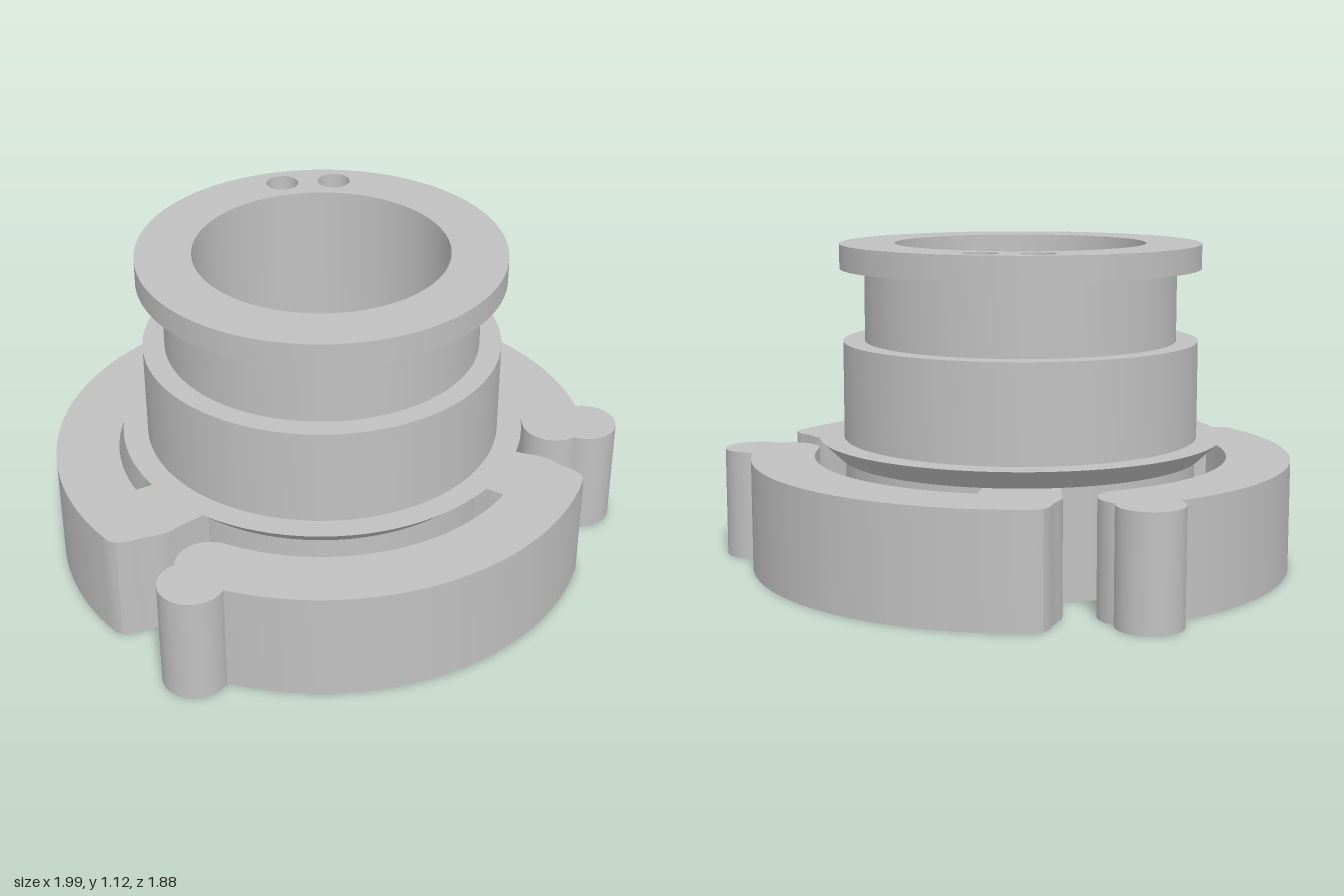
import * as THREE from 'three';
import { toCreasedNormals } from 'three/addons/utils/BufferGeometryUtils.js';

const TOP = 1.12;
const BASE = 0.383;
const HOLES = [[-0.0925, -0.525], [0.0925, -0.525]];
const HOLE_R = 0.057;
const rad = THREE.MathUtils.degToRad;
const polar = (r, deg) => new THREE.Vector2(r * Math.cos(rad(deg)), r * Math.sin(rad(deg)));

function lathe(profile, segments) {
  const pts = profile.map(([r, y]) => new THREE.Vector2(r, y));
  return toCreasedNormals(new THREE.LatheGeometry(pts, segments), 0.4);
}

// Curved locking arm: root joined to the hub, free end rounded
function armGeometry() {
  const pts = [[0.58, 13.2], [0.712, 15.8], [0.765, 16.2], [0.796, 16.9], [0.825, 18.1],
    [0.855, 19.4], [0.885, 20], [0.907, 20.8], [0.928, 21.8], [0.939, 23.3]]
    .map(([r, a]) => polar(r, a));
  const end = 121.3, mid = 0.829, capR = 0.11;
  for (let i = 1; i <= 48; i++) pts.push(polar(0.939, 23.3 + (end - 23.3) * i / 48));
  const c = polar(mid, end);
  for (let i = 1; i < 16; i++) pts.push(polar(capR, end + 180 * i / 16).add(c));
  for (let i = 0; i <= 48; i++) pts.push(polar(0.719, end + (37 - end) * i / 48));
  pts.push(polar(0.58, 37));
  const geo = new THREE.ExtrudeGeometry(new THREE.Shape(pts), { depth: BASE, bevelEnabled: false });
  geo.rotateX(Math.PI / 2).translate(0, BASE, 0);
  return toCreasedNormals(geo, 0.5);
}

export function createModel() {
  const model = new THREE.Group();
  const metal = new THREE.MeshStandardMaterial({ color: 0xc0c0c0 });
  metal.name = 'grey metal';

  // Everything turns about an axis slightly left of the centre
  const coupling = new THREE.Group();
  coupling.name = 'coupling';
  coupling.position.x = -0.06;
  model.add(coupling);
  const add = (name, geo, parent = coupling) => {
    const mesh = new THREE.Mesh(geo, metal);
    mesh.name = name;
    parent.add(mesh);
    return mesh;
  };

  // Hollow hub with inner web, sealing lip, neck and flange
  add('hub', lathe([
    [0.434, TOP], [0.434, 0.62], [0.19, 0.62], [0.19, 0.53], [0.474, 0.53], [0.474, 0],
    [0.61, 0], [0.61, 0.383], [0.63, 0.383], [0.70, 0.45], [0.615, 0.45], [0.615, 0.785],
    [0.54, 0.785], [0.54, 1.035], [0.625, 1.035], [0.625, TOP],
  ], 96));

  // Flange face with two small holes
  const face = new THREE.Shape().absarc(0, 0, 0.625, 0, Math.PI * 2);
  face.holes.push(new THREE.Path().absarc(0, 0, 0.434, 0, Math.PI * 2, true));
  for (const [x, z] of HOLES) {
    face.holes.push(new THREE.Path().absarc(x, -z, HOLE_R, 0, Math.PI * 2, true));
    const well = add('pinHole', lathe([[HOLE_R, TOP], [HOLE_R, TOP - 0.055], [0, TOP - 0.055]], 32));
    well.position.set(x, 0, z);
  }
  add('flangeFace', new THREE.ShapeGeometry(face, 48).rotateX(-Math.PI / 2));
  coupling.children.at(-1).position.y = TOP;

  // Three locking arms, each with a round lug at its free end
  const arm = armGeometry();
  const lug = new THREE.CylinderGeometry(0.11, 0.11, BASE, 40);
  const lugAt = polar(0.945, 121.3);
  for (let i = 0; i < 3; i++) {
    const group = new THREE.Group();
    group.name = 'lockingArm';
    group.rotation.y = -i * Math.PI * 2 / 3;
    add('arm', arm, group);
    add('lug', lug, group).position.set(lugAt.x, BASE / 2, lugAt.y);
    coupling.add(group);
  }
  return model;
}
